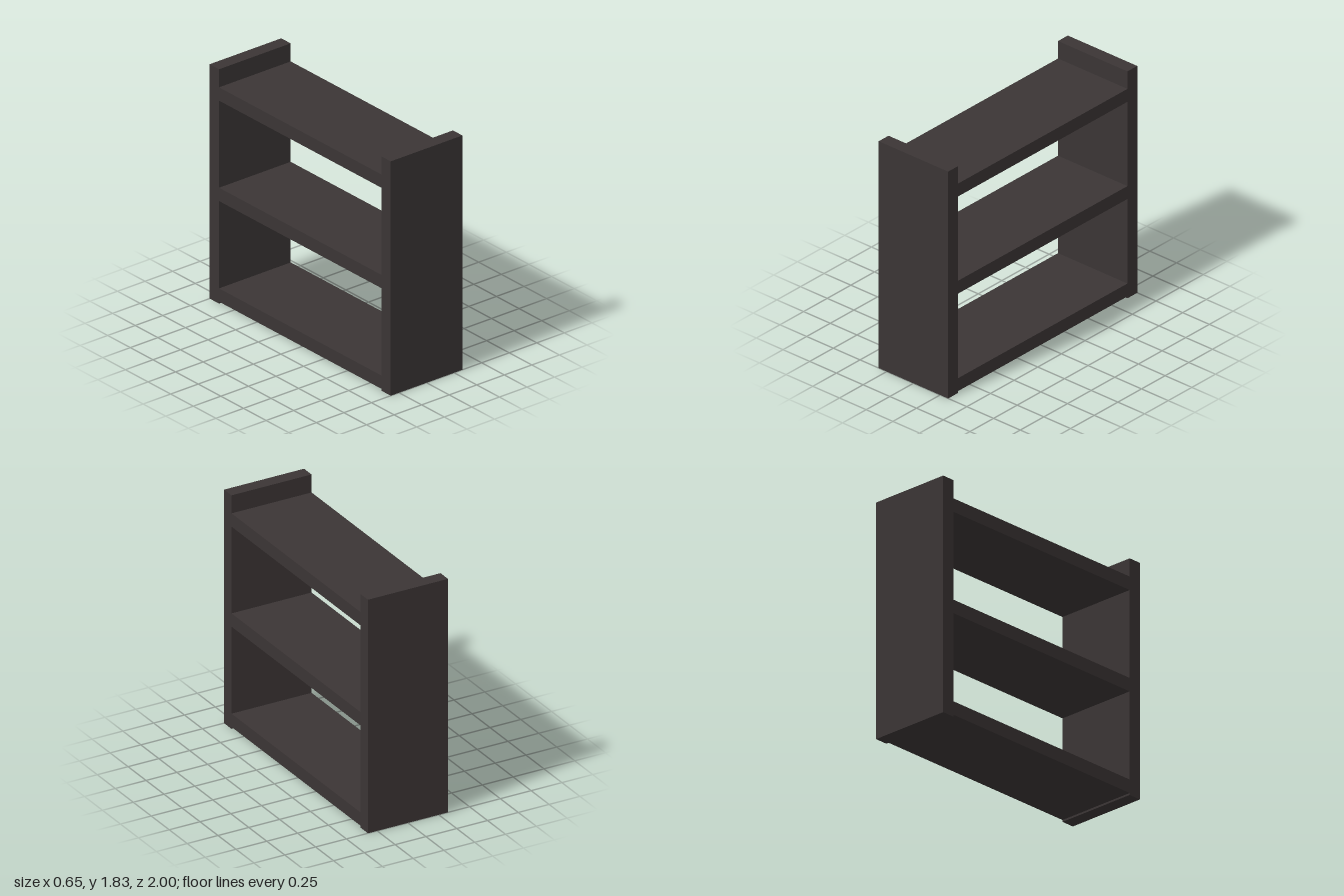
import * as THREE from 'three';

const WIDTH = 0.65, HEIGHT = 1.83, LENGTH = 2, BOARD = 0.104;

export function createModel() {
  const group = new THREE.Group();
  group.name = 'shelfUnit';
  const darkWood = new THREE.MeshStandardMaterial({ color: 0x3b3535 });
  darkWood.name = 'dark wood';

  const addBoard = (name, height, depth, y, z) => {
    const mesh = new THREE.Mesh(new THREE.BoxGeometry(WIDTH, height, depth), darkWood);
    mesh.name = name;
    mesh.position.set(0, y, z);
    group.add(mesh);
  };

  // Upright end panels
  for (const side of [1, -1]) {
    addBoard(side > 0 ? 'frontPanel' : 'backPanel', HEIGHT, BOARD, HEIGHT / 2, side * (LENGTH - BOARD) / 2);
  }

  // Shelves spanning between the panels
  const shelves = { bottomShelf: 0.067, middleShelf: 0.853, topShelf: 1.637 };
  for (const [name, y] of Object.entries(shelves)) {
    addBoard(name, BOARD, LENGTH - 2 * BOARD, y, 0);
  }
  return group;
}
